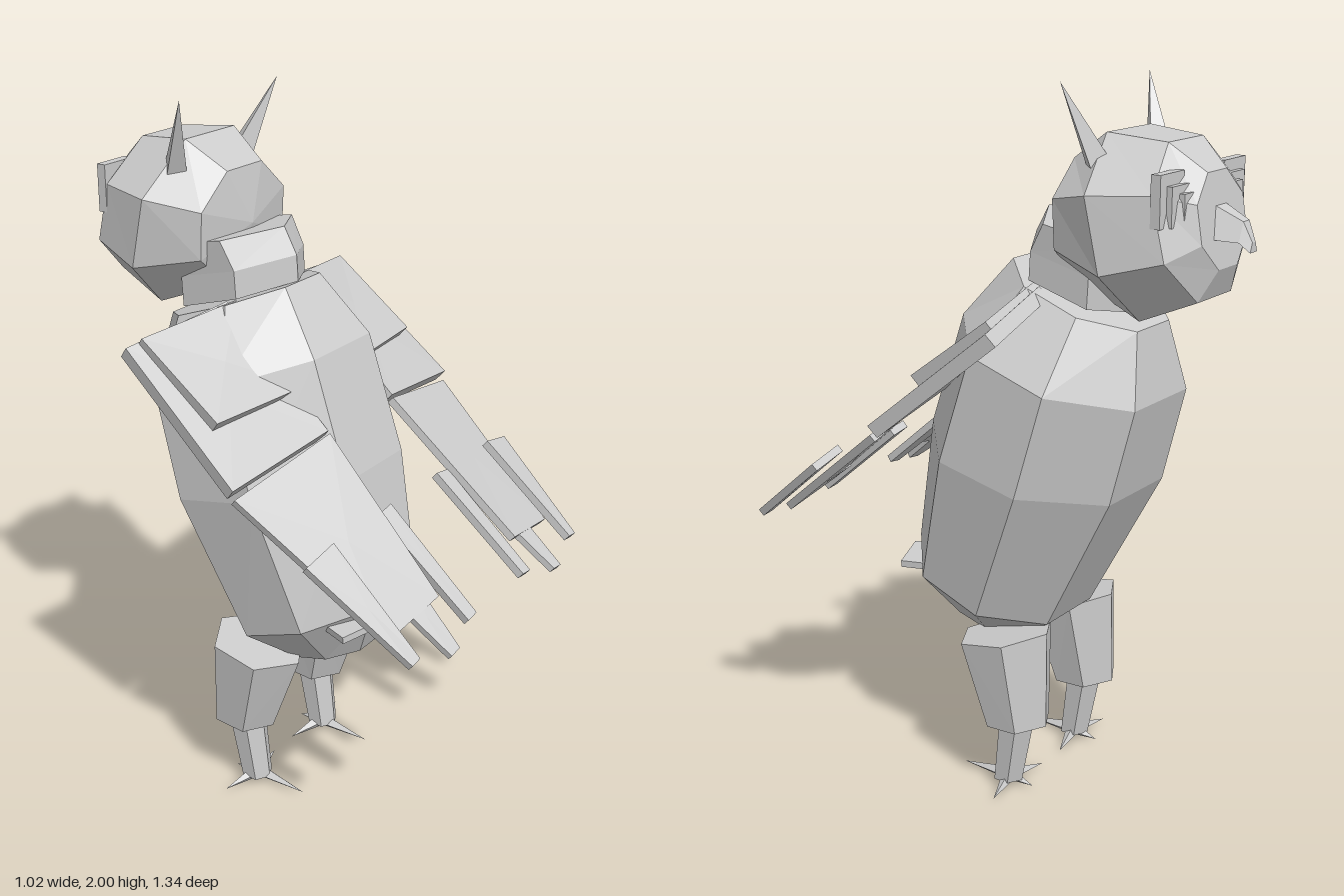
import * as THREE from 'three';

const grey = new THREE.MeshStandardMaterial({ color: 0xcccccc, flatShading: true });
grey.name = 'plainGrey';

// Skin a stack of equal-length rings of [x,y,z], cap both ends (fan to the ring centre or a given apex)
function loft(rings, apexStart, apexEnd) {
  const n = rings[0].length, tris = [];
  const mid = r => r.reduce((a, p) => a.map((v, i) => v + p[i] / n), [0, 0, 0]);
  for (let k = 0; k < rings.length - 1; k++)
    for (let i = 0; i < n; i++) {
      const j = (i + 1) % n, a = rings[k], b = rings[k + 1];
      tris.push([a[i], a[j], b[j]], [a[i], b[j], b[i]]);
    }
  const first = rings[0], last = rings[rings.length - 1];
  const c0 = apexStart || mid(first), c1 = apexEnd || mid(last);
  for (let i = 0; i < n; i++) {
    const j = (i + 1) % n;
    tris.push([c0, first[j], first[i]], [c1, last[i], last[j]]);
  }
  // Turn the shell outwards if its signed volume is negative
  let vol = 0;
  const o = new THREE.Vector3(...c0);
  for (const t of tris) {
    const [a, b, c] = t.map(p => new THREE.Vector3(...p).sub(o));
    vol += a.dot(b.cross(c));
  }
  if (vol < 0) tris.forEach(t => t.reverse());
  const g = new THREE.BufferGeometry();
  g.setAttribute('position', new THREE.Float32BufferAttribute(tris.flat(2), 3));
  g.computeVertexNormals();
  return g;
}

// Flat-sided octagon: front and back (or top and bottom) edges centred at p and q in the YZ plane
function octagon([py, pz], [qy, qz], halfX) {
  const ring = [];
  for (let i = 0; i < 8; i++) {
    const a = (i + 0.5) * Math.PI / 4, t = Math.cos(a) / Math.cos(Math.PI / 8);
    const x = halfX * Math.sin(a) / Math.cos(Math.PI / 8);
    ring.push([x, (py + qy) / 2 + t * (py - qy) / 2, (pz + qz) / 2 + t * (pz - qz) / 2]);
  }
  return ring;
}

// Hexagon with corners pointing along z; slope lifts the far end
function hexagon(x, y, z, r, slope = 0) {
  const ring = [];
  for (let i = 0; i < 6; i++) {
    const a = i * Math.PI / 3;
    ring.push([x + r * Math.sin(a), y + slope * r * Math.cos(a), z + r * Math.cos(a)]);
  }
  return ring;
}

// Four-cornered plate, thickened along its own normal
function plate(corners, thick) {
  const v = corners.map(p => new THREE.Vector3(...p));
  const n = v[2].clone().sub(v[0]).cross(v[3].clone().sub(v[1])).normalize();
  if (n.y < 0) n.negate();
  const shift = d => v.map(p => p.clone().addScaledVector(n, d).toArray());
  return loft([shift(-thick / 2), shift(thick / 2)]);
}

// Pointed spike from a base centre to a tip
function spike(base, tip, radius, sides) {
  const b = new THREE.Vector3(...base), d = new THREE.Vector3(...tip).sub(b);
  const g = new THREE.ConeGeometry(radius, d.length(), sides);
  g.translate(0, d.length() / 2, 0);
  g.applyQuaternion(new THREE.Quaternion().setFromUnitVectors(new THREE.Vector3(0, 1, 0), d.normalize()));
  return g.translate(...base);
}

// Box given by its minimum and maximum corners
function block(a, b) {
  return new THREE.BoxGeometry(b[0] - a[0], b[1] - a[1], b[2] - a[2])
    .translate((a[0] + b[0]) / 2, (a[1] + b[1]) / 2, (a[2] + b[2]) / 2);
}

export function createModel() {
  const model = new THREE.Group();
  model.name = 'owl';
  const add = (name, geo) => {
    const m = new THREE.Mesh(geo, grey);
    m.name = name;
    model.add(m);
  };
  // Builds the part on both sides, mirroring the triangles for the second one
  const addPair = (name, geo) => {
    add(name + 'Left', geo);
    const g = (geo.index ? geo.toNonIndexed() : geo.clone()).scale(-1, 1, 1);
    const p = g.attributes.position;
    for (let i = 0; i < p.count; i += 3) {
      const b = new THREE.Vector3().fromBufferAttribute(p, i + 1);
      const c = new THREE.Vector3().fromBufferAttribute(p, i + 2);
      p.setXYZ(i + 1, c.x, c.y, c.z);
      p.setXYZ(i + 2, b.x, b.y, b.z);
    }
    g.computeVertexNormals();
    add(name + 'Right', g);
  };

  // Body: tilted octagons from rump to shoulders
  add('body', loft([
    octagon([0.48, 0.235], [0.415, 0.0], 0.12),
    octagon([0.67, 0.315], [0.5, -0.135], 0.265),
    octagon([1.04, 0.24], [0.91, -0.35], 0.325),
    octagon([1.36, 0.13], [1.18, -0.42], 0.315),
    octagon([1.52, 0.0], [1.375, -0.39], 0.19),
  ]));

  // Neck collar
  add('neck', loft([
    hexagon(0, 1.46, -0.195, 0.18, 0.3),
    hexagon(0, 1.54, -0.2, 0.18, 0.25),
    hexagon(0, 1.62, -0.245, 0.185, 0.2),
  ]));

  // Head: octagons from the nape to the face disc
  add('head', loft([
    octagon([1.8, -0.19], [1.49, -0.205], 0.18),
    octagon([1.875, -0.305], [1.41, -0.41], 0.25),
    octagon([1.86, -0.47], [1.475, -0.565], 0.205),
    octagon([1.79, -0.56], [1.555, -0.6], 0.115),
  ], [0, 1.65, -0.165]));

  // Hooked beak
  const beakRing = (z, low, high, w) => [[-w, low, z], [w, low, z], [w * 0.45, high, z], [-w * 0.45, high, z]];
  add('beak', loft([
    beakRing(-0.57, 1.63, 1.71, 0.06),
    beakRing(-0.645, 1.625, 1.675, 0.035),
    beakRing(-0.668, 1.6, 1.625, 0.018),
  ]));

  // Ear tufts
  addPair('earTuft', spike([0.135, 1.78, -0.315], [0.207, 2.0, -0.235], 0.042, 4));

  // Stepped eye plates
  addPair('eyeOuterPlate', block([0.1, 1.67, -0.525], [0.21, 1.8, -0.498]));
  addPair('eyeMiddlePlate', block([0.1, 1.67, -0.54], [0.18, 1.77, -0.52]));
  addPair('eyeInnerPlate', block([0.09, 1.67, -0.555], [0.145, 1.75, -0.53]));

  // Wings: shoulder plate, covert patch, forearm plate and three feathers
  addPair('upperWing', plate([[0.475, 1.41, -0.22], [0.15, 1.46, -0.15], [0.15, 1.17, 0.18], [0.505, 1.12, 0.14]], 0.04));
  addPair('wingCovert', plate([[0.44, 1.425, -0.2], [0.14, 1.46, -0.13], [0.14, 1.265, 0.09], [0.44, 1.25, 0.04]], 0.055));
  addPair('lowerWing', plate([[0.5, 1.1, 0.145], [0.15, 1.17, 0.19], [0.2, 0.83, 0.565], [0.41, 0.795, 0.55]], 0.022));
  addPair('outerFeather', plate([[0.495, 0.975, 0.36], [0.385, 1.0, 0.365], [0.4, 0.77, 0.635], [0.435, 0.765, 0.635]], 0.022));
  addPair('innerFeather', plate([[0.175, 0.99, 0.36], [0.115, 1.0, 0.36], [0.125, 0.77, 0.635], [0.165, 0.765, 0.635]], 0.022));
  addPair('middleFeather', plate([[0.32, 0.87, 0.48], [0.22, 0.885, 0.485], [0.255, 0.74, 0.665], [0.295, 0.735, 0.665]], 0.018));

  // Tail feathers
  add('tailMiddle', block([-0.06, 0.615, 0.21], [0.06, 0.64, 0.33]));
  addPair('tailSide', new THREE.BoxGeometry(0.125, 0.02, 0.13)
    .rotateZ(-0.1).rotateY(0.35).translate(0.145, 0.625, 0.255));

  // Legs
  addPair('thigh', loft([hexagon(0.165, 0.475, -0.035, 0.138, -0.2), hexagon(0.172, 0.215, -0.08, 0.096, -0.06)]));
  addPair('shin', loft([hexagon(0.172, 0.22, -0.077, 0.056), hexagon(0.17, 0.02, -0.045, 0.046)]));

  // Feet: four spread toes
  const toes = [[0.045, 0.01, -0.075], [0.285, 0.01, -0.075], [0.165, 0.01, 0.12], [0.165, 0.01, -0.125]];
  toes.forEach((tip, i) => addPair('toe' + (i + 1), spike([0.165, 0.023, -0.045], tip, 0.022, 4)));

  return model;
}
